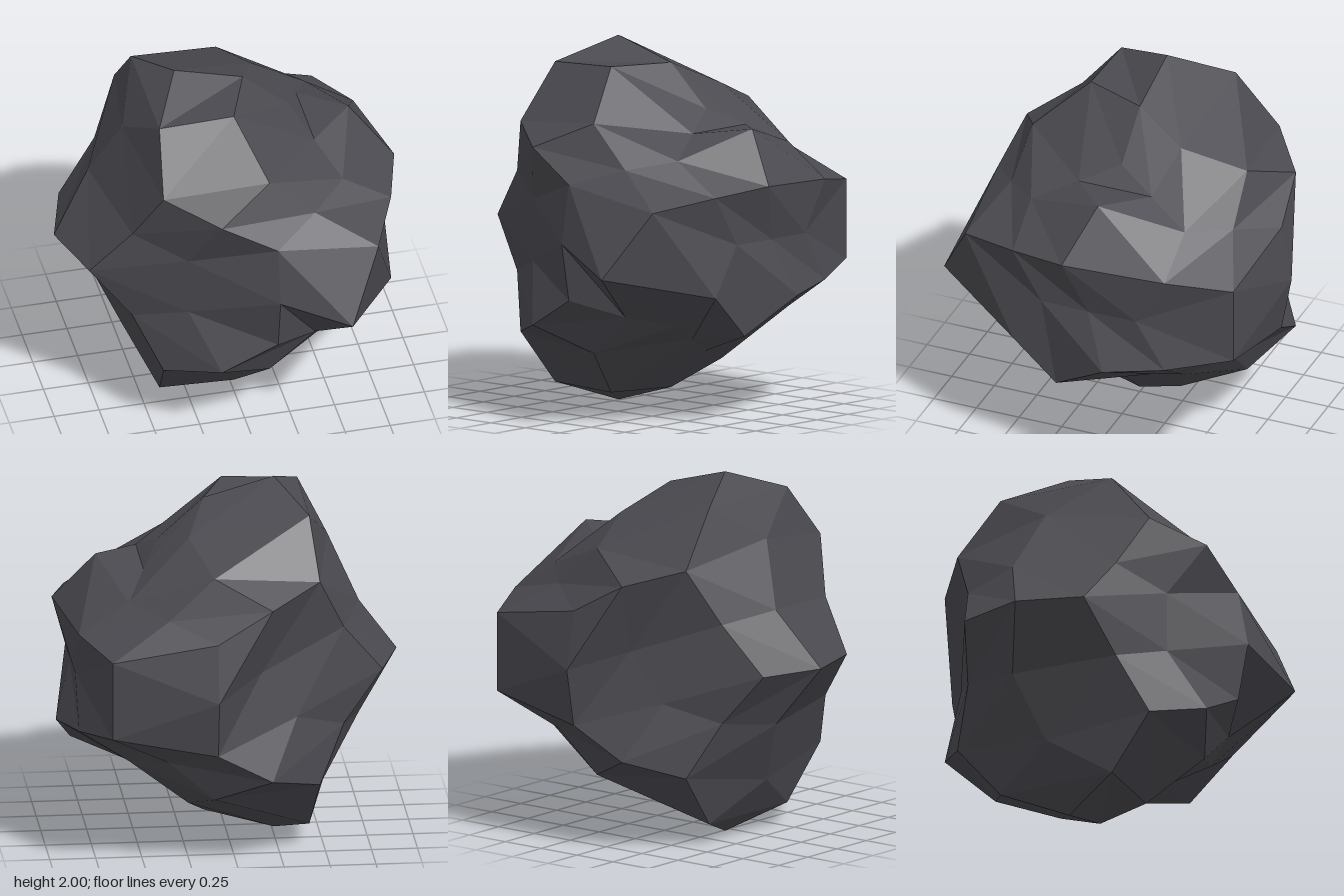
import * as THREE from 'three';

// Bulge depth by direction class (|x|, |y|, |z|); it swells the -x half and sinks the +x half
const BULGES = [
  [0.577, 0.577, 0.577, 0.11],
  [0.357, 0.934, 0, 0.18],
  [0.934, 0, 0.357, 0.115],
  [1, 0, 0, 0.16],
  [0.5, 0.809, 0.309, 0.195],
  [0.309, 0.5, 0.809, 0.085],
  [0.809, 0.309, 0.5, 0],
  [0.707, 0.707, 0, 0.058],
  [0.572, 0.219, 0.79, -0.105],
  [0.354, 0.135, 0.926, -0.18],
  [0.926, 0.354, 0.135, 0.01],
  [0.135, 0.926, 0.354, 0.075],
  [0.79, 0.572, 0.219, -0.005],
];
const BASE_RADIUS = 0.89;

function radiusAt(d) {
  if (Math.abs(d.x) < 0.01) return BASE_RADIUS;
  const a = new THREE.Vector3(Math.abs(d.x), Math.abs(d.y), Math.abs(d.z));
  let best = -1, bulge = 0;
  for (const [x, y, z, g] of BULGES) {
    const closeness = a.x * x + a.y * y + a.z * z;
    if (closeness > best) { best = closeness; bulge = g; }
  }
  return BASE_RADIUS - Math.sign(d.x) * bulge;
}

export function createModel() {
  const group = new THREE.Group();
  group.name = 'boulder';

  const stone = new THREE.MeshStandardMaterial({ color: 0x4a4a50, flatShading: true });
  stone.name = 'dark grey stone';

  // Faceted ball with every corner pushed in or out along its own direction
  const geometry = new THREE.DodecahedronGeometry(1, 1);
  const pos = geometry.attributes.position;
  const d = new THREE.Vector3();
  for (let i = 0; i < pos.count; i++) {
    d.fromBufferAttribute(pos, i).normalize();
    d.multiplyScalar(radiusAt(d));
    pos.setXYZ(i, d.x, d.y, d.z);
  }
  geometry.computeVertexNormals();

  // Stand it on the ground, centred
  geometry.translate(0.12, 1, -0.05);

  const rock = new THREE.Mesh(geometry, stone);
  rock.name = 'rock';
  group.add(rock);
  return group;
}
